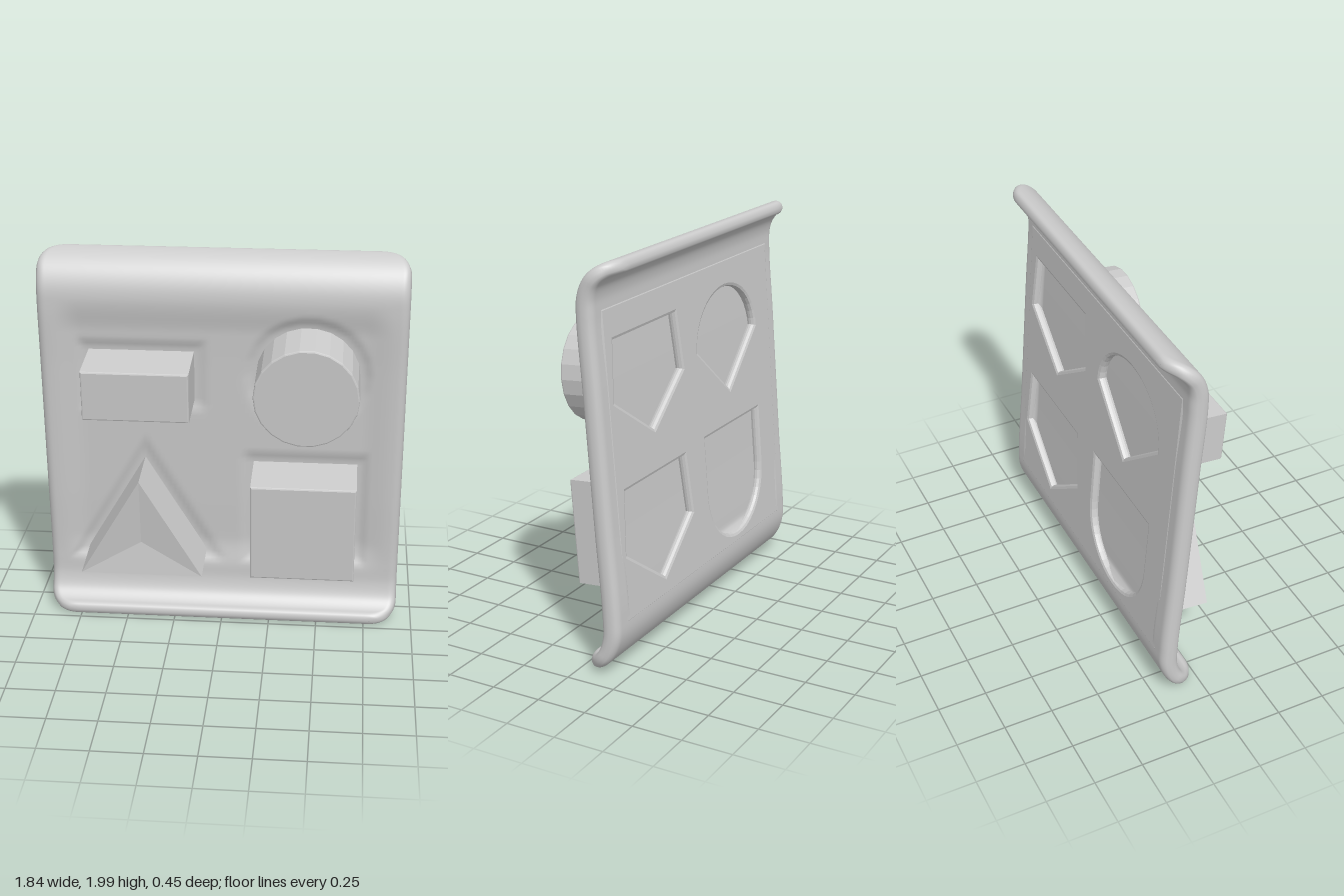
import * as THREE from 'three';
import { mergeVertices } from 'three/addons/utils/BufferGeometryUtils.js';

const MAT = new THREE.MeshStandardMaterial({ color: 0xcccccc });
const TILT = 0.078, PIVOT_Y = 1.03, PIVOT_Z = -0.115;
const HALF_W = 0.92, CORNER = 0.15;
const V = (x, y) => new THREE.Vector2(x, y);

// Outlines (counter-clockwise) in the tilted panel's own plane, from heights above ground
const outline = pts => pts.map(([x, y]) => V(x, y - PIVOT_Y));
const rect = (x0, y0, x1, y1) => outline([[x0, y0], [x1, y0], [x1, y1], [x0, y1]]);
function arc(cx, cy, rx, ry, from, to, n) {
  const pts = [];
  for (let i = 0; i <= n; i++) {
    const a = from + (to - from) * i / n;
    pts.push([cx + rx * Math.cos(a), cy + ry * Math.sin(a)]);
  }
  return pts;
}
const BLOCKS = {
  rectangleBlock: rect(-0.67, 1.235, -0.14, 1.495),
  roundBlock: outline(arc(0.43, 1.382, 0.26, 0.258, 0, Math.PI * 2, 22).slice(0, -1)),
  squareBlock: rect(0.16, 0.362, 0.69, 0.89),
  triangleBlock: outline([[-0.71, 0.358], [-0.09, 0.358], [-0.4, 0.898]]),
};

// Signed distance to a convex outline, good enough for shallow sockets
function distanceTo(poly, x, y) {
  let d = -Infinity;
  poly.forEach((p, i) => {
    const q = poly[(i + 1) % poly.length];
    const ex = q.x - p.x, ey = q.y - p.y;
    d = Math.max(d, ((x - p.x) * ey - (y - p.y) * ex) / Math.hypot(ex, ey));
  });
  return d;
}
const smooth = THREE.MathUtils.smoothstep;

// Curled tray: S-shaped profile swept across x, with a round rim and shallow recesses
function traySheet() {
  const profile = new THREE.CatmullRomCurve3([
    [0.034, -0.018], [0.046, -0.075], [0.1, -0.138], [0.19, -0.173], [0.31, -0.174],
    [0.7, -0.141], [1.03, -0.115], [1.4, -0.086], [1.73, -0.059],
    [1.83, -0.062], [1.9, -0.09], [1.95, -0.145], [1.968, -0.215],
  ].map(([y, z]) => new THREE.Vector3(0, y, z)));
  profile.arcLengthDivisions = 600;
  const len = profile.getLength() + 0.02;
  const nu = 110, nv = 120, pos = [], idx = [];
  const warp = k => 0.35 * k + 0.65 * Math.sin(k * Math.PI / 2);
  for (const side of [1, -1]) {
    const base = pos.length / 3;
    for (let j = 0; j <= nv; j++) {
      const t = (warp(j / nv * 2 - 1) + 1) / 2;
      const c = profile.getPointAt(t), tan = profile.getTangentAt(t);
      const s = Math.min(t, 1 - t) * len;
      const cut = s < CORNER ? CORNER - Math.sqrt(CORNER ** 2 - (CORNER - s) ** 2) : 0;
      const h = 0.034 + 0.013 * smooth(s, 0.05, 0.3);
      const y = (c.y - PIVOT_Y) / Math.cos(TILT);
      const edgeY = Math.abs(y + 0.015);
      for (let i = 0; i <= nu; i++) {
        const x = warp(i / nu * 2 - 1) * (HALF_W - cut);
        const edgeX = Math.abs(x);
        // distance in from the rounded outline
        const qx = CORNER - (HALF_W - edgeX), qy = CORNER - s;
        const d = Math.max(0, CORNER - Math.hypot(Math.max(qx, 0), Math.max(qy, 0)) - Math.min(Math.max(qx, qy), 0));
        let off = h * Math.sqrt(Math.max(0, 1 - (1 - Math.min(d / h, 1)) ** 2));
        if (side > 0) {
          // broad soft hollow, then a socket around each block
          off -= 0.022 * (1 - smooth(edgeY, 0.58, 0.76)) * (1 - smooth(edgeX, 0.7, 0.86));
          const near = Math.min(...Object.values(BLOCKS).map(b => distanceTo(b, x, y)));
          off -= 0.014 * (1 - smooth(near, 0.015, 0.07));
        } else {
          // seat for the pocket panel
          off -= 0.04 * (1 - smooth(edgeY, 0.67, 0.73)) * (1 - smooth(edgeX, 0.75, 0.8));
        }
        pos.push(x, c.y - side * off * tan.z, c.z + side * off * tan.y);
        if (i < nu && j < nv) {
          const a = base + j * (nu + 1) + i, b = a + 1, e = a + nu + 1, f = e + 1;
          if (side > 0) idx.push(a, b, f, a, f, e);
          else idx.push(a, f, b, a, e, f);
        }
      }
    }
  }
  let g = new THREE.BufferGeometry();
  g.setAttribute('position', new THREE.Float32BufferAttribute(pos, 3));
  g.setIndex(idx);
  g = mergeVertices(g, 1e-5);
  g.computeVertexNormals();
  return g;
}

// Layer behind the tray with one open, chamfered pocket per block
function pocketPanel() {
  const shape = new THREE.Shape(rect(-0.82, 0.265, 0.82, 1.755));
  const house = (top, mid, low) => outline([[0.76, top], [0.16, top], [0.12, mid], [0.44, low], [0.79, mid]]);
  const pockets = [
    house(1.62, 1.31, 1.08),
    house(0.9, 0.57, 0.33),
    outline([...arc(-0.34, 1.35, 0.33, 0.29, 0, Math.PI, 20), [-0.34, 1.07]]),
    outline([...arc(-0.34, 0.6, 0.31, 0.31, Math.PI, Math.PI * 2, 20), [-0.03, 0.92], [-0.65, 0.92]]),
  ];
  pockets.forEach(p => shape.holes.push(new THREE.Path(p)));
  const b = 0.018, thickness = 0.048;
  const g = new THREE.ExtrudeGeometry(shape, {
    depth: thickness - 2 * b, bevelThickness: b, bevelSize: b, bevelSegments: 2,
  });
  return g.translate(0, 0, b - 0.049);
}

// Straight prism with a slim softened edge
function blockGeometry(poly) {
  const b = 0.008;
  return new THREE.ExtrudeGeometry(new THREE.Shape(poly), {
    depth: 0.29 - b, bevelThickness: b, bevelSize: b, bevelOffset: -b, bevelSegments: 2,
  });
}

// Three-sided prism whose front face dips slightly to its middle
function triangleGeometry() {
  let g = new THREE.CylinderGeometry(0.36, 0.36, 0.29, 3, 1, false, Math.PI);
  g.rotateX(Math.PI / 2).translate(0, 0, 0.145);
  const p = g.attributes.position;
  for (let i = 0; i < p.count; i++) {
    if (Math.hypot(p.getX(i), p.getY(i)) < 0.01 && p.getZ(i) > 0.2) p.setZ(i, 0.265);
  }
  g = g.toNonIndexed();
  g.computeVertexNormals();
  return g.translate(-0.4, 0.538 - PIVOT_Y, 0);
}

export function createModel() {
  const model = new THREE.Group();
  model.name = 'shapePanel';
  const add = (parent, name, geometry) => {
    const mesh = new THREE.Mesh(geometry, MAT);
    mesh.name = name;
    parent.add(mesh);
  };
  add(model, 'curledTray', traySheet());

  // Everything mounted on the flat, slightly forward-leaning middle
  const mounted = new THREE.Group();
  mounted.name = 'mountedParts';
  mounted.position.set(0, PIVOT_Y, PIVOT_Z);
  mounted.rotation.x = TILT;
  model.add(mounted);
  add(mounted, 'pocketPanel', pocketPanel());
  for (const [name, poly] of Object.entries(BLOCKS)) {
    const geometry = name === 'triangleBlock' ? triangleGeometry() : blockGeometry(poly);
    // blocks start just inside the tray
    add(mounted, name, geometry.translate(0, 0, 0.006));
  }
  return model;
}
